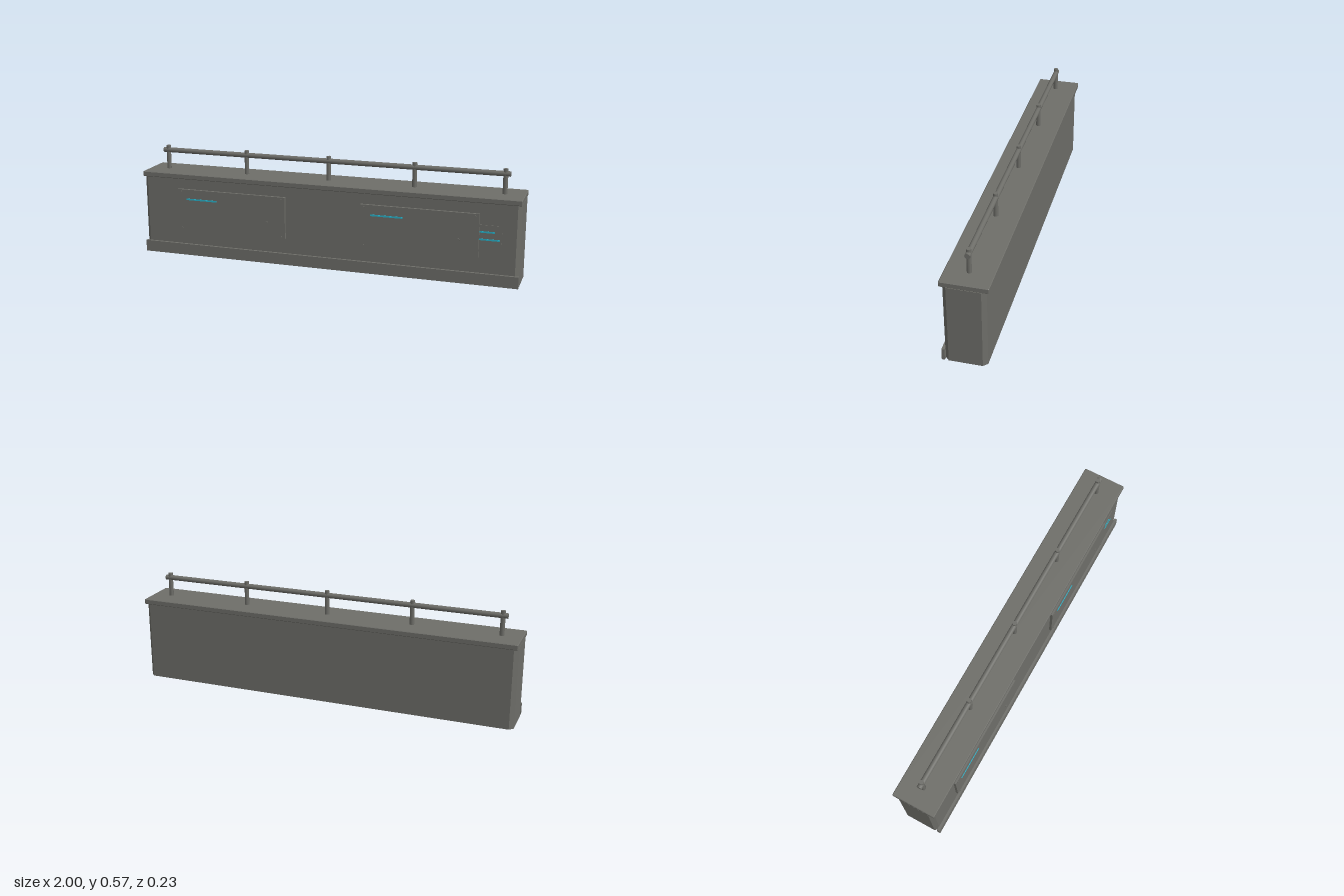
import * as THREE from 'three';

export function createModel() {
  const model = new THREE.Group();
  const metal = new THREE.MeshStandardMaterial({ color: 0x6e6e69 });
  metal.name = 'grey metal';
  const cyan = new THREE.MeshStandardMaterial({ color: 0x2ab4cc });
  cyan.name = 'cyan stripe';

  const add = (name, geometry, material = metal) => {
    const mesh = new THREE.Mesh(geometry, material);
    mesh.name = name;
    model.add(mesh);
    return mesh;
  };
  // Box given by its limits on each axis
  const box = (name, [x0, x1], [y0, y1], [z0, z1], material) =>
    add(name, new THREE.BoxGeometry(x1 - x0, y1 - y0, z1 - z0), material)
      .position.set((x0 + x1) / 2, (y0 + y1) / 2, (z0 + z1) / 2);

  // Rectangle with cut corners
  const cutRect = (w, d, c) => new THREE.Shape([
    [-w + c, -d], [w - c, -d], [w, -d + c], [w, d - c],
    [w - c, d], [-w + c, d], [-w, d - c], [-w, -d + c],
  ].map(([x, y]) => new THREE.Vector2(x, y)));

  // Barrier body with chamfered upright corners
  const body = new THREE.ExtrudeGeometry(cutRect(1, 0.1, 0.02), { depth: 0.415, bevelEnabled: false });
  add('body', body.rotateX(-Math.PI / 2));

  // Top cap with finely bevelled edges
  const b = 0.003;
  const cap = new THREE.ExtrudeGeometry(cutRect(1 - b, 0.114 - b, 0.001), {
    depth: 0.027 - 2 * b, bevelThickness: b, bevelSize: b, bevelSegments: 1,
  });
  add('topCap', cap.rotateX(-Math.PI / 2)).position.set(0, 0.415 + b, -0.001);

  box('kickPlate', [-1, 1], [0, 0.06], [0.098, 0.113]);

  // Small bolt head facing forward
  const bolt = (name, x, y, r) => add(name,
    new THREE.CylinderGeometry(r, r, 0.006, 8).rotateX(Math.PI / 2)).position.set(x, y, 0.114);

  // Access panels with corner bolts, a latch and a stripe
  for (const [x, s0, s1] of [[-0.5, -0.75, -0.58], [0.5, 0.255, 0.42]]) {
    box('accessPanel', [x - 0.3, x + 0.3], [0.14, 0.36], [0.098, 0.113]);
    box('panelStripe', [s0, s1], [0.304, 0.312], [0.111, 0.116], cyan);
    for (const dx of [-0.28, 0.28])
      for (const y of [0.15, 0.348]) bolt('panelBolt', x + dx, y, 0.004);
    bolt('panelLatch', x + 0.2, 0.222, 0.007);
  }

  // Thin side plate partly behind the second panel
  box('sidePlate', [0.7, 0.91], [0.195, 0.305], [0.098, 0.103]);
  box('sideStripe', [0.75, 0.875], [0.266, 0.274], [0.102, 0.105], cyan);
  box('sideStripe', [0.75, 0.9], [0.228, 0.236], [0.102, 0.105], cyan);

  // Handrail on posts
  for (const x of [-0.9, -0.45, 0, 0.45, 0.9])
    add('railPost', new THREE.CylinderGeometry(0.012, 0.012, 0.13, 8)).position.set(x, 0.502, 0);
  add('handrail', new THREE.CylinderGeometry(0.0135, 0.0135, 1.85, 12).rotateZ(Math.PI / 2))
    .position.y = 0.542;

  return model;
}
